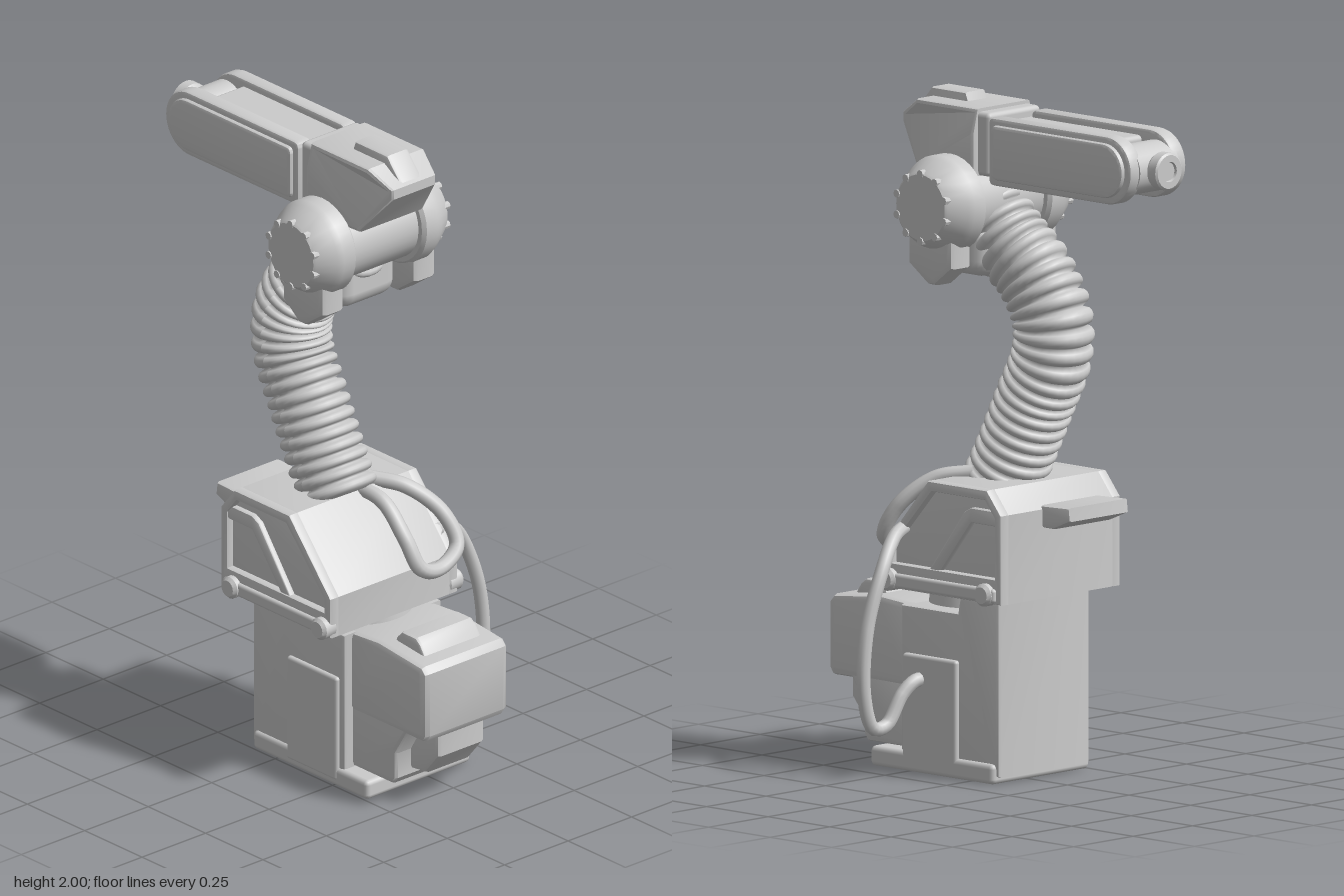
import * as THREE from 'three';
import { toCreasedNormals } from 'three/addons/utils/BufferGeometryUtils.js';
import { RoundedBoxGeometry } from 'three/addons/geometries/RoundedBoxGeometry.js';

const MAT = new THREE.MeshStandardMaterial({ color: 0xcccccc, side: THREE.DoubleSide });
const V = (x, y, z) => new THREE.Vector3(x, y, z);

export function createModel() {
  const root = new THREE.Group();
  root.name = 'robotArm';

  const add = (name, geo) => {
    const mesh = new THREE.Mesh(geo, MAT);
    mesh.name = name;
    root.add(mesh);
    return mesh;
  };
  // Rounded box from its min and max corners
  const box = (name, [x0, y0, z0], [x1, y1, z1], r = 0.012) => {
    const m = add(name, new RoundedBoxGeometry(x1 - x0, y1 - y0, z1 - z0, 2, r));
    m.position.set((x0 + x1) / 2, (y0 + y1) / 2, (z0 + z1) / 2);
    return m;
  };
  // Bevelled outline in x,y extruded from z0 to z1
  const prism = (name, outline, z0, z1, bevel = 0.012, hole) => {
    const shape = Array.isArray(outline)
      ? new THREE.Shape(outline.map(([x, y]) => new THREE.Vector2(x, y))) : outline;
    if (hole) shape.holes.push(new THREE.Path(hole.map(([x, y]) => new THREE.Vector2(x, y))));
    const geo = new THREE.ExtrudeGeometry(shape, {
      depth: z1 - z0 - 2 * bevel, bevelEnabled: bevel > 0, bevelSize: bevel,
      bevelThickness: bevel, bevelOffset: -bevel, bevelSegments: 2, curveSegments: 10,
    });
    geo.translate(0, 0, z0 + bevel);
    return add(name, toCreasedNormals(geo, 0.6));
  };
  // Turned profile of [radius, z] points about a z axis through x,y
  const turned = (name, x, y, profile, sides = 32) => {
    const geo = new THREE.LatheGeometry(profile.map(([r, z]) => new THREE.Vector2(r, z)), sides);
    geo.rotateX(Math.PI / 2);
    const m = add(name, toCreasedNormals(geo, 0.5));
    m.position.set(x, y, 0);
    return m;
  };
  const hose = (name, pts, r) =>
    add(name, new THREE.TubeGeometry(new THREE.CatmullRomCurve3(pts), 64, r, 10));

  // Base column, foot and side panels
  prism('baseColumn', [[-0.11, 0.02], [0.29, 0.02], [0.29, 0.49], [0.06, 0.49], [0.05, 0.54], [-0.11, 0.54]], -0.145, 0.24);
  box('baseFoot', [-0.1, 0, -0.16], [0.4, 0.06, 0.25], 0.015);
  box('sidePanelFront', [0.05, 0.02, 0.2], [0.27, 0.35, 0.253], 0.01);
  box('sidePanelBack', [0.05, 0.02, -0.16], [0.27, 0.35, -0.1], 0.01);
  const turntable = add('turntable', new THREE.CylinderGeometry(0.13, 0.14, 0.08, 32));
  turntable.position.set(0.17, 0.515, 0.05);

  // Motor housing behind the column
  prism('motorHousing', [[0.27, 0.24], [0.595, 0.24], [0.608, 0.26], [0.608, 0.46], [0.59, 0.48], [0.4, 0.5], [0.27, 0.49]], -0.12, 0.21, 0.02);
  prism('motorLowerCover', [[0.27, 0.06], [0.455, 0.06], [0.47, 0.08], [0.47, 0.16], [0.53, 0.26], [0.27, 0.26]], -0.115, 0.205, 0.015);
  prism('connectorNub', [[0.44, 0.09], [0.53, 0.1], [0.588, 0.17], [0.588, 0.25], [0.44, 0.25]], -0.045, 0.14, 0.015);
  prism('motorHump', [[0.41, 0.46], [0.56, 0.46], [0.525, 0.515], [0.505, 0.53], [0.445, 0.53], [0.42, 0.505]], -0.07, 0.155, 0.01);

  // Waist housing with a framed panel and diagonal rib on both sides
  const waist = [[-0.128, 0.535], [0.35, 0.535], [0.35, 0.66], [0.17, 0.87], [-0.07, 0.87], [-0.128, 0.8]];
  const opening = [[-0.1, 0.61], [0.32, 0.61], [0.32, 0.655], [0.155, 0.84], [-0.06, 0.84], [-0.1, 0.79]];
  prism('waistHousing', waist, -0.13, 0.325);
  for (const [side, z] of [['Front', 0.31], ['Back', -0.155]]) {
    prism('waistFrame' + side, waist, z, z + 0.04, 0.008, opening);
    prism('waistRib' + side, [[-0.11, 0.765], [0, 0.765], [0.13, 0.6], [0.175, 0.6], [0.03, 0.795], [0, 0.81], [-0.11, 0.81]], z + 0.006, z + 0.034, 0.008);
  }
  prism('waistBracket', [[-0.24, 0.775], [-0.17, 0.745], [-0.1, 0.745], [-0.1, 0.81], [-0.235, 0.815]], 0.02, 0.27, 0.01);

  // Hinge rails and bolts along the bottom of the waist
  for (const [side, z0, z1] of [['Front', 0.33, 0.362], ['Back', -0.168, -0.13]]) {
    box('hingeRail' + side, [-0.11, 0.54, z0], [0.35, 0.582, z1], 0.01);
    for (const x of [-0.07, 0.32]) {
      const lo = z0 - 0.012, hi = z1 + 0.014;
      turned('hingeBolt' + side, x, 0.562, [[0, lo], [0.025, lo], [0.034, lo + 0.01], [0.034, hi - 0.01], [0.025, hi], [0, hi]], 16);
    }
  }

  // Ribbed bellows: a tube whose radius rises and falls along its length
  const path = new THREE.CatmullRomCurve3([
    V(0.115, 0.84, 0.1), V(0.065, 0.93, 0.1), V(-0.02, 1.1, 0.1), V(-0.095, 1.25, 0.095),
    V(-0.1, 1.36, 0.09), V(-0.04, 1.48, 0.08), V(0.05, 1.57, 0.065), V(0.13, 1.66, 0.055)]);
  const ribs = 23, steps = ribs * 6, sides = 28;
  const bellows = new THREE.TubeGeometry(path, steps, 1, sides);
  const pos = bellows.attributes.position;
  for (let i = 0; i <= steps; i++) {
    const c = path.getPointAt(i / steps);
    const r = 0.094 + 0.027 * Math.sqrt(Math.abs(Math.sin(Math.PI * i / 6)));
    for (let j = 0; j <= sides; j++) {
      const k = i * (sides + 1) + j;
      const p = V().fromBufferAttribute(pos, k).sub(c).multiplyScalar(r).add(c);
      pos.setXYZ(k, p.x, p.y, p.z);
    }
  }
  bellows.computeVertexNormals();
  add('armBellows', bellows);

  // Elbow: central drum, domed caps with bolt rings, and lugs below
  const EX = 0.145, EY = 1.69, MID = 0.055;
  turned('elbowDrum', EX, EY, [[0, -0.09], [0.12, -0.09], [0.12, 0.2], [0, 0.2]]);
  box('elbowNeck', [0.04, 1.47, -0.06], [0.2, 1.63, 0.17], 0.05);
  const lug = [[0.06, 1.62], [0.06, 1.51], [0.13, 1.455], [0.16, 1.455], [0.238, 1.51], [0.238, 1.62]];
  for (const s of [1, -1]) {
    const side = s > 0 ? 'Front' : 'Back';
    const z = d => MID + s * d;
    turned('elbowCap' + side, EX, EY, [[0, z(0.13)], [0.135, z(0.13)], [0.146, z(0.14)], [0.146, z(0.185)], [0.138, z(0.205)],
      [0.105, z(0.258)], [0.098, z(0.264)], [0, z(0.264)]]);
    for (let i = 0; i < 10; i++) {
      const a = (i + 0.5) * Math.PI / 5;
      turned('capBolt' + side, EX + 0.1 * Math.cos(a), EY + 0.1 * Math.sin(a),
        [[0.012, z(0.24)], [0.012, z(0.268)], [0, z(0.268)]], 8);
    }
    prism('elbowLug' + side, lug, Math.min(z(0.135), z(0.225)), Math.max(z(0.135), z(0.225)), 0.018);
  }

  // Head housing, narrowed toward its rear and top
  const head = prism('headHousing', [[0.06, 1.76], [0.29, 1.77], [0.39, 1.895], [0.39, 1.925], [0.31, 1.975], [0.06, 1.975], [0.06, 1.9]], -0.075, 0.185, 0.012);
  const hp = head.geometry.attributes.position;
  for (let i = 0; i < hp.count; i++) {
    let k = 1;
    if (hp.getX(i) > 0.34) k = 0.68;
    else if (hp.getY(i) > 1.94) k = 0.86;
    hp.setZ(i, MID + (hp.getZ(i) - MID) * k);
  }
  head.geometry = toCreasedNormals(head.geometry, 0.5);
  prism('headRidge', [[0.16, 1.95], [0.18, 2.0], [0.32, 2.0], [0.385, 1.925], [0.37, 1.9], [0.2, 1.9]], 0.015, 0.1, 0.01);
  box('headCollar', [0.015, 1.775, -0.055], [0.08, 1.965, 0.165], 0.015);

  // Forearm: core slab between two round-ended side plates with raised panels
  const capsule = (x0, x1, y0, y1, corner) => {
    const r = (y1 - y0) / 2, s = new THREE.Shape();
    s.moveTo(x1 - corner, y0);
    s.quadraticCurveTo(x1, y0, x1, y0 + corner);
    s.lineTo(x1, y1 - corner);
    s.quadraticCurveTo(x1, y1, x1 - corner, y1);
    s.lineTo(x0 + r, y1);
    s.absarc(x0 + r, y0 + r, r, Math.PI / 2, Math.PI * 1.5, false);
    return s;
  };
  box('forearmCore', [-0.44, 1.77, -0.03], [0.03, 1.935, 0.14], 0.015);
  for (const [side, z0, z1, p0, p1] of [
    ['Front', 0.115, 0.17, 0.15, 0.183], ['Back', -0.065, -0.013, -0.078, -0.04]]) {
    prism('forearmPlate' + side, capsule(-0.57, 0.01, 1.755, 1.957, 0.02), z0, z1, 0.01);
    prism('forearmPanel' + side, capsule(-0.545, -0.01, 1.775, 1.937, 0.02), p0, p1, 0.01);
  }

  // Wrist joint and tool flange
  turned('wristJoint', -0.5, 1.855, [[0, -0.03], [0.075, -0.03], [0.075, 0.135], [0, 0.135]], 28);
  const flange = add('toolFlange', toCreasedNormals(new THREE.LatheGeometry(
    [[0, -0.115], [0.045, -0.115], [0.045, -0.05], [0.056, -0.035], [0.056, -0.005], [0.05, 0], [0.03, 0], [0.028, -0.008], [0, -0.008]]
      .map(([r, y]) => new THREE.Vector2(r, y)), 24), 0.5));
  flange.rotation.z = Math.PI / 2;
  flange.position.set(-0.615, 1.855, 0.052);

  // Cable hoses
  hose('upperHose', [V(0.13, 0.87, 0.06), V(0.25, 0.85, 0.05), V(0.34, 0.76, 0.045), V(0.38, 0.67, 0.02),
    V(0.375, 0.645, -0.06), V(0.36, 0.69, -0.14), V(0.31, 0.78, -0.13), V(0.23, 0.86, -0.06), V(0.14, 0.88, 0.01)], 0.023);
  hose('lowerHose', [V(0.29, 0.72, -0.12), V(0.26, 0.7, -0.2), V(0.23, 0.62, -0.28), V(0.23, 0.45, -0.345), V(0.23, 0.25, -0.358),
    V(0.225, 0.15, -0.325), V(0.22, 0.155, -0.275), V(0.21, 0.24, -0.22), V(0.2, 0.275, -0.18), V(0.2, 0.28, -0.13)], 0.021);

  return root;
}
